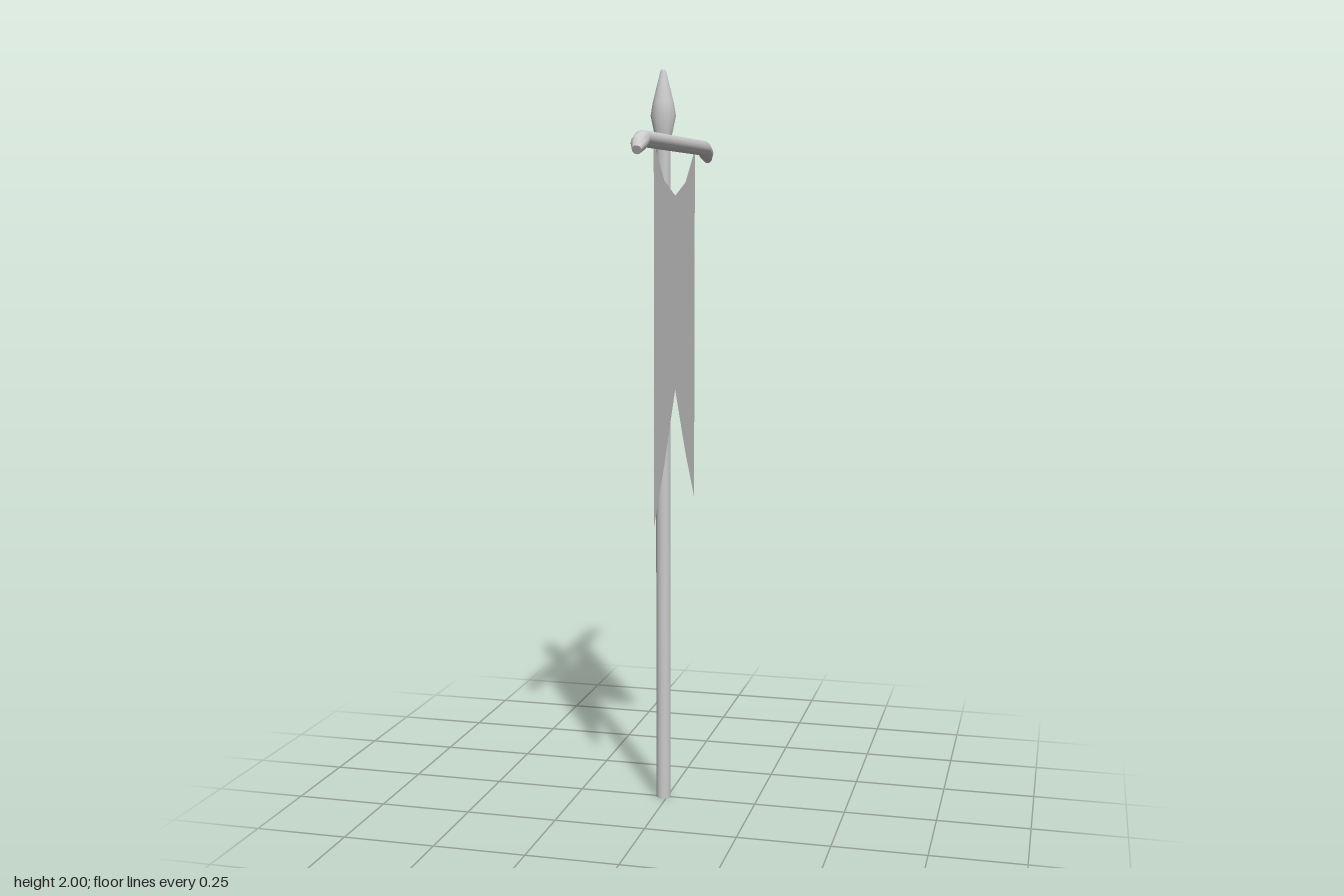
import * as THREE from 'three';
import { toCreasedNormals } from 'three/addons/utils/BufferGeometryUtils.js';

const POLE_X = -0.011;
const BAR_X = 0.022;

export function createModel() {
  const group = new THREE.Group();
  group.name = 'bannerPole';
  const grey = new THREE.MeshStandardMaterial({ color: 0xcccccc });
  const cloth = new THREE.MeshStandardMaterial({ color: 0xcccccc, side: THREE.DoubleSide });

  const add = (name, geometry, material, x) => {
    const mesh = new THREE.Mesh(geometry, material);
    mesh.name = name;
    mesh.position.x = x;
    group.add(mesh);
  };

  // Upright pole
  const pole = new THREE.CylinderGeometry(0.02, 0.02, 1.83, 16);
  pole.translate(0, 0.915, 0);
  add('pole', pole, grey, POLE_X);

  // Spear-shaped finial
  const profile = [[0, 1.81], [0.02, 1.815], [0.034, 1.88], [0.028, 1.915], [0.008, 1.995], [0.006, 2], [0, 2]]
    .map(([r, y]) => new THREE.Vector2(r, y));
  add('finial', toCreasedNormals(new THREE.LatheGeometry(profile, 16), 0.7), grey, POLE_X);

  // Crossbar with drooping, tapered tips
  add('crossbar', crossbarGeometry(), grey, BAR_X);

  // Swallow-tailed banner with a sagging top edge
  const half = [[0.228, 1.8], [0.117, 1.708], [0, 1.671]];
  const tail = [[0.228, 0.817], [0.117, 0.966], [0, 1.151]];
  const mirror = (points) => points.slice(0, 2).reverse().map(([z, y]) => [-z, y]);
  const outline = [...half, ...mirror(half), ...[...tail, ...mirror(tail)].reverse()];
  const banner = new THREE.ShapeGeometry(
    new THREE.Shape(outline.map(([z, y]) => new THREE.Vector2(-z, y)))
  );
  banner.rotateY(Math.PI / 2);
  add('banner', banner, cloth, BAR_X);

  return group;
}

function crossbarGeometry() {
  // Rings from the middle outwards: z, y, radius, tilt
  const side = [[0.34, 1.807, 0.021, -0.1], [0.371, 1.794, 0.021, -0.4], [0.3925, 1.7775, 0.012, -0.48]];
  const rings = [...side.map(([z, y, r, t]) => [-z, y, r, -t]).reverse(), ...side];
  const steps = rings.length - 1;
  const geometry = new THREE.CylinderGeometry(1, 1, 1, 16, steps);
  const position = geometry.attributes.position;
  for (let i = 0; i < position.count; i++) {
    const [z, y, r, tilt] = rings[Math.round((position.getY(i) + 0.5) * steps)];
    const up = -position.getZ(i) * r;
    position.setXYZ(i, position.getX(i) * r, y + up * Math.cos(tilt), z - up * Math.sin(tilt));
  }
  return toCreasedNormals(geometry, 0.6);
}
